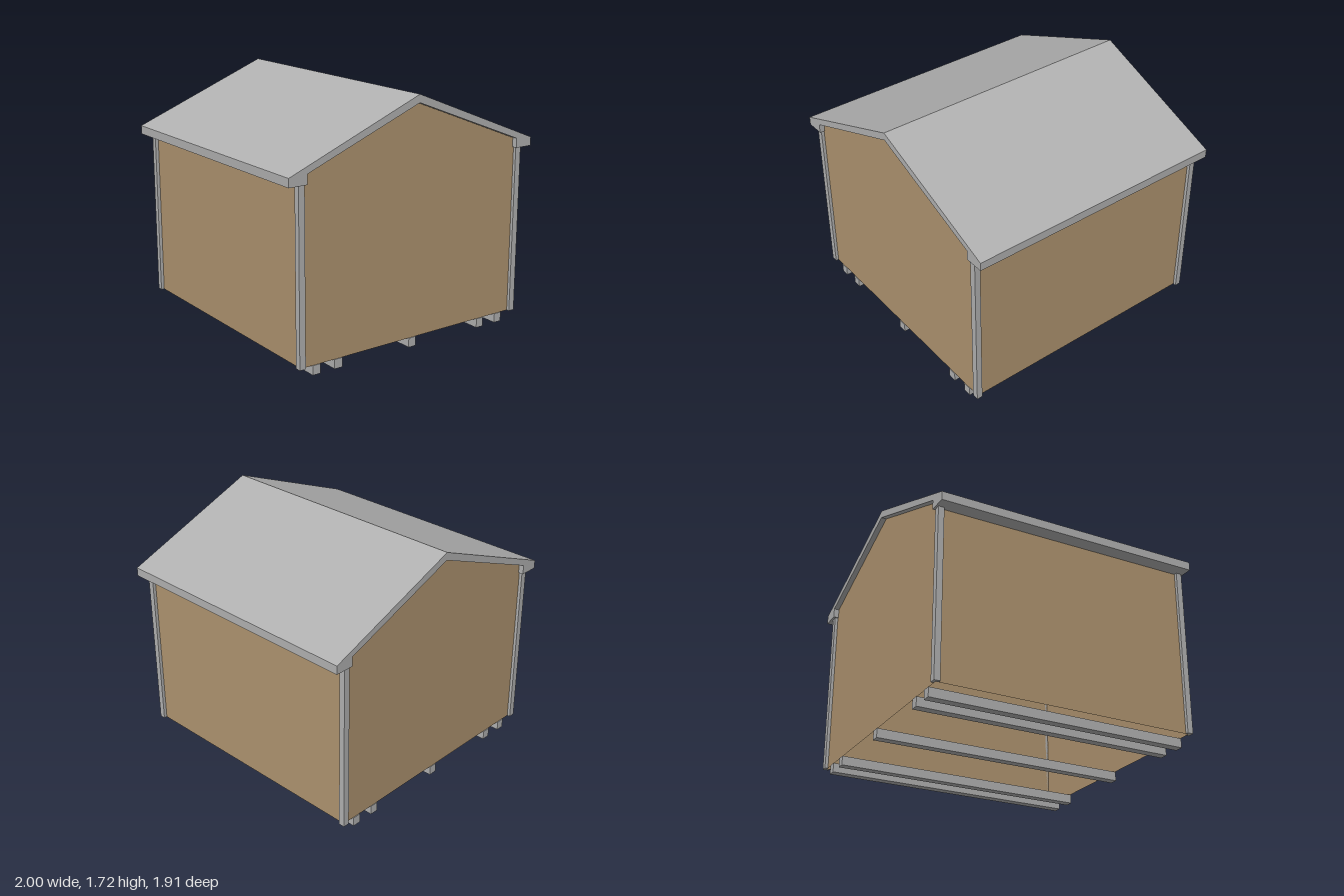
import * as THREE from 'three';

export function createModel() {
  const model = new THREE.Group();
  model.name = 'shed';

  const grey = new THREE.MeshStandardMaterial({ color: 0xb0b0b0 });
  grey.name = 'grey trim';
  const wood = new THREE.MeshStandardMaterial({ color: 0xae936f, side: THREE.DoubleSide });
  wood.name = 'brown wall';

  const add = (name, geometry, material, x = 0, y = 0, z = 0) => {
    const mesh = new THREE.Mesh(geometry, material);
    mesh.name = name;
    mesh.position.set(x, y, z);
    model.add(mesh);
    return mesh;
  };
  const shape = (points) => new THREE.Shape(points.map(([x, y]) => new THREE.Vector2(x, y)));
  const extrude = (points, depth) =>
    new THREE.ExtrudeGeometry(shape(points), { depth, bevelEnabled: false });

  const base = 0.065, eave = 1.255;
  const wallX = 0.897, wallZ = 0.92;

  // Gabled roof with boxed eaves, one section along the whole length
  add('roof', extrude([
    [-1, eave], [-0.865, eave], [-0.865, 1.322], [0, 1.66], [0.865, 1.322],
    [0.865, eave], [1, eave], [1, 1.315], [0, 1.715], [-1, 1.315],
  ], 1.914), grey, 0, 0, -0.957);

  // Thin walls, open underneath
  const gable = new THREE.ShapeGeometry(shape([
    [-wallX, base], [wallX, base], [wallX, 1.308], [0, 1.659], [-wallX, 1.308],
  ]));
  add('frontWall', gable, wood, 0, 0, wallZ);
  add('backWall', gable, wood, 0, 0, -wallZ).rotation.y = Math.PI;

  const side = new THREE.PlaneGeometry(2 * wallZ, eave - base);
  for (const s of [1, -1]) {
    add(s > 0 ? 'leftWall' : 'rightWall', side, wood, s * wallX, (base + eave) / 2, 0)
      .rotation.y = s * Math.PI / 2;
  }

  // L-shaped corner boards wrapped round the wall corners
  for (const sx of [1, -1]) {
    for (const sz of [1, -1]) {
      const points = [
        [0.92, 0.942], [0.875, 0.942], [0.875, wallZ],
        [wallX, wallZ], [wallX, 0.9], [0.92, 0.9],
      ].map(([x, z]) => [sx * x, -sz * z]);
      const board = extrude(points, eave - base);
      board.rotateX(-Math.PI / 2);
      add('cornerBoard', board, grey, 0, base, 0);
    }
  }

  // Skids running front to back under the walls
  const skid = new THREE.BoxGeometry(0.06, base, 1.85);
  for (const x of [-0.78, -0.61, 0, 0.61, 0.78]) add('skid', skid, grey, x, base / 2, 0);

  return model;
}
